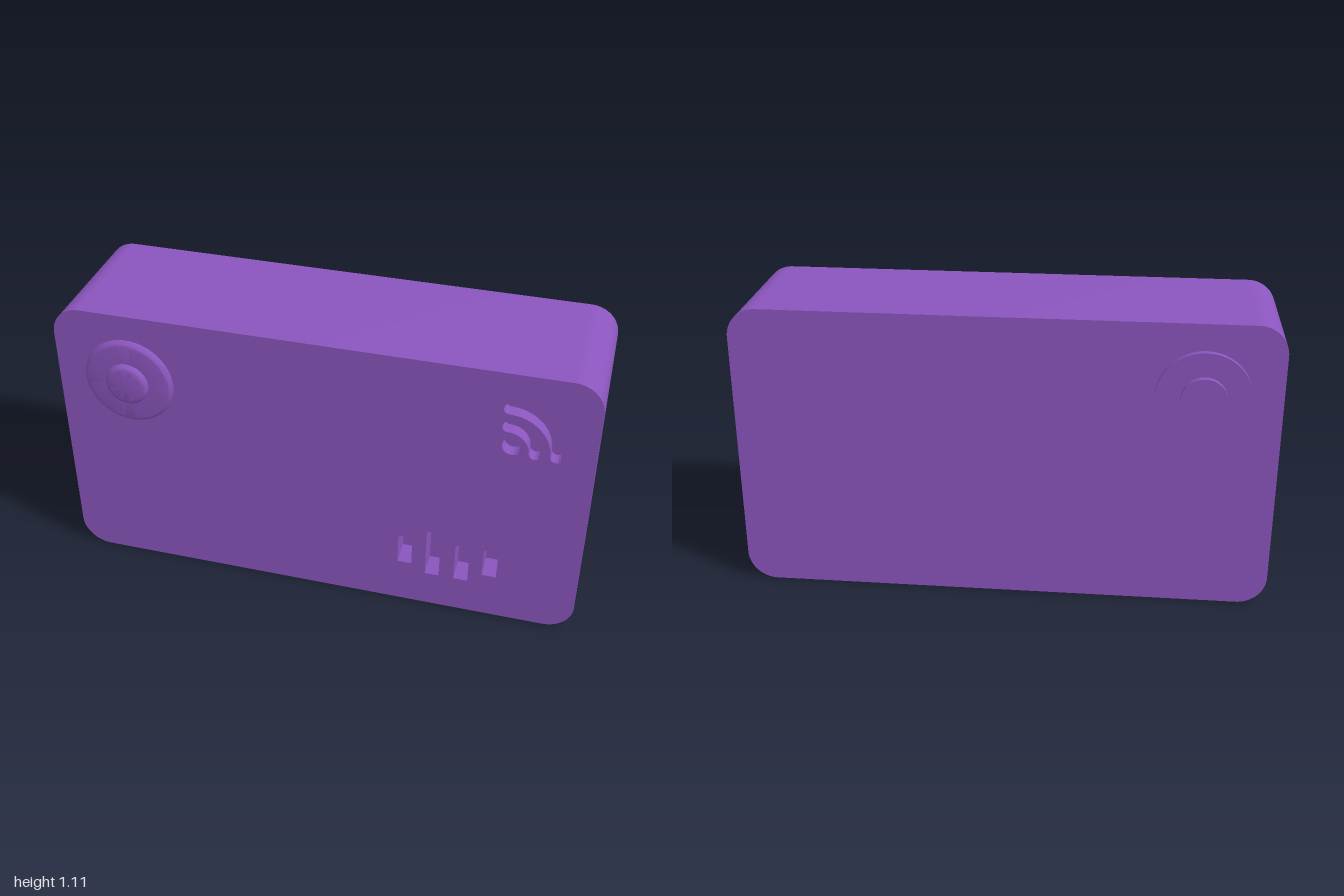
import * as THREE from 'three';
import { toCreasedNormals } from 'three/addons/utils/BufferGeometryUtils.js';

const HALF_DEPTH = 0.265, HEIGHT = 1.11, SEGMENTS = 16;
const material = new THREE.MeshStandardMaterial({ color: 0x8a55bd });

function addMesh(parent, name, geometry) {
  const mesh = new THREE.Mesh(geometry, material);
  mesh.name = name;
  parent.add(mesh);
  return mesh;
}

// Wall along an outline, facing outward, or inward for a recess
function wall(shape, z0, z1, inward = false) {
  const points = shape.getPoints(SEGMENTS);
  if (THREE.ShapeUtils.isClockWise(points) !== inward) points.reverse();
  const positions = [];
  points.forEach((p, i) => {
    const q = points[(i + 1) % points.length];
    if (p.distanceTo(q) < 1e-6) return;
    positions.push(p.x, p.y, z0, q.x, q.y, z0, q.x, q.y, z1);
    positions.push(p.x, p.y, z0, q.x, q.y, z1, p.x, p.y, z1);
  });
  const geometry = new THREE.BufferGeometry();
  geometry.setAttribute('position', new THREE.Float32BufferAttribute(positions, 3));
  geometry.computeVertexNormals();
  return toCreasedNormals(geometry, 0.6);
}

function roundedRect(x0, y0, x1, y1, r) {
  const s = new THREE.Shape();
  s.absarc(x1 - r, y0 + r, r, -Math.PI / 2, 0);
  s.absarc(x1 - r, y1 - r, r, 0, Math.PI / 2);
  s.absarc(x0 + r, y1 - r, r, Math.PI / 2, Math.PI);
  s.absarc(x0 + r, y0 + r, r, Math.PI, Math.PI * 1.5);
  s.closePath();
  return s;
}

function rect(x0, y0, x1, y1) {
  return new THREE.Shape([[x0, y0], [x1, y0], [x1, y1], [x0, y1]].map(p => new THREE.Vector2(...p)));
}

// Quarter-circle slot with round ends
function arcSlot(cx, cy, r, w) {
  const s = new THREE.Shape(), q = Math.PI / 2;
  s.absarc(cx, cy, r + w, 0, q);
  s.absarc(cx, cy + r, w, q, 3 * q);
  s.absarc(cx, cy, r - w, q, 0, true);
  s.absarc(cx + r, cy, w, 2 * q, 4 * q);
  s.closePath();
  return s;
}

function lathe(points) {
  const profile = points.map(p => new THREE.Vector2(...p));
  return toCreasedNormals(new THREE.LatheGeometry(profile, 64), 0.6);
}

// Stepped round button: rounded rims when round > 0, square rims otherwise
function button(steps, round) {
  const profile = [];
  let base = 0;
  for (const [radius, top] of steps) {
    profile.push([radius, base]);
    for (let i = 0; i <= (round ? 8 : 0); i++) {
      const a = (i / 8) * Math.PI / 2;
      profile.push([radius - round + round * Math.cos(a), top - round + round * Math.sin(a)]);
    }
    base = top;
  }
  profile.push([0, base]);
  return lathe(profile);
}

export function createModel() {
  const model = new THREE.Group();
  model.name = 'wirelessBox';

  // Recesses in the front face
  const dot = new THREE.Shape();
  dot.absarc(0.708, 0.813, 0.037, 0, Math.PI * 2);
  const recesses = [
    { name: 'signalDot', shape: dot, depth: 0.05 },
    { name: 'signalArcInner', shape: arcSlot(0.688, 0.792, 0.1, 0.022), depth: 0.05 },
    { name: 'signalArcOuter', shape: arcSlot(0.688, 0.792, 0.175, 0.022), depth: 0.05 },
  ];
  [[0.318, 0.187, 0.315], [0.426, 0.15, 0.358], [0.537, 0.15, 0.315], [0.644, 0.193, 0.315]]
    .forEach(([x, y0, y1], i) => recesses.push({
      name: `speakerSlot${i + 1}`, shape: rect(x, y0, x + 0.054, y1), depth: 0.1,
    }));

  // Body: side wall, back face and pierced front face
  const body = new THREE.Group();
  body.name = 'body';
  model.add(body);
  const outline = roundedRect(-1, 0, 1, HEIGHT, 0.11);
  addMesh(body, 'sideWall', wall(outline, -HALF_DEPTH, HALF_DEPTH));
  const back = addMesh(body, 'backFace', new THREE.ShapeGeometry(outline, SEGMENTS));
  back.rotation.y = Math.PI;
  back.position.z = -HALF_DEPTH;
  const pierced = outline.clone();
  pierced.holes = recesses.map(r => r.shape);
  addMesh(body, 'frontFace', new THREE.ShapeGeometry(pierced, SEGMENTS)).position.z = HALF_DEPTH;

  // Walls and floors of the recesses
  for (const { name, shape, depth } of recesses) {
    const floor = HALF_DEPTH - depth;
    addMesh(body, `${name}Wall`, wall(shape, floor, HALF_DEPTH, true));
    addMesh(body, `${name}Floor`, new THREE.ShapeGeometry(shape, SEGMENTS)).position.z = floor;
  }

  // Round buttons on front and back
  const steps = [[0.172, 0.023], [0.083, 0.046]];
  for (const [name, side, round] of [['frontButton', 1, 0.021], ['backButton', -1, 0]]) {
    const mesh = addMesh(model, name, button(steps, round));
    mesh.rotation.x = side * Math.PI / 2;
    mesh.position.set(-0.717, 0.839, side * HALF_DEPTH);
  }
  return model;
}
